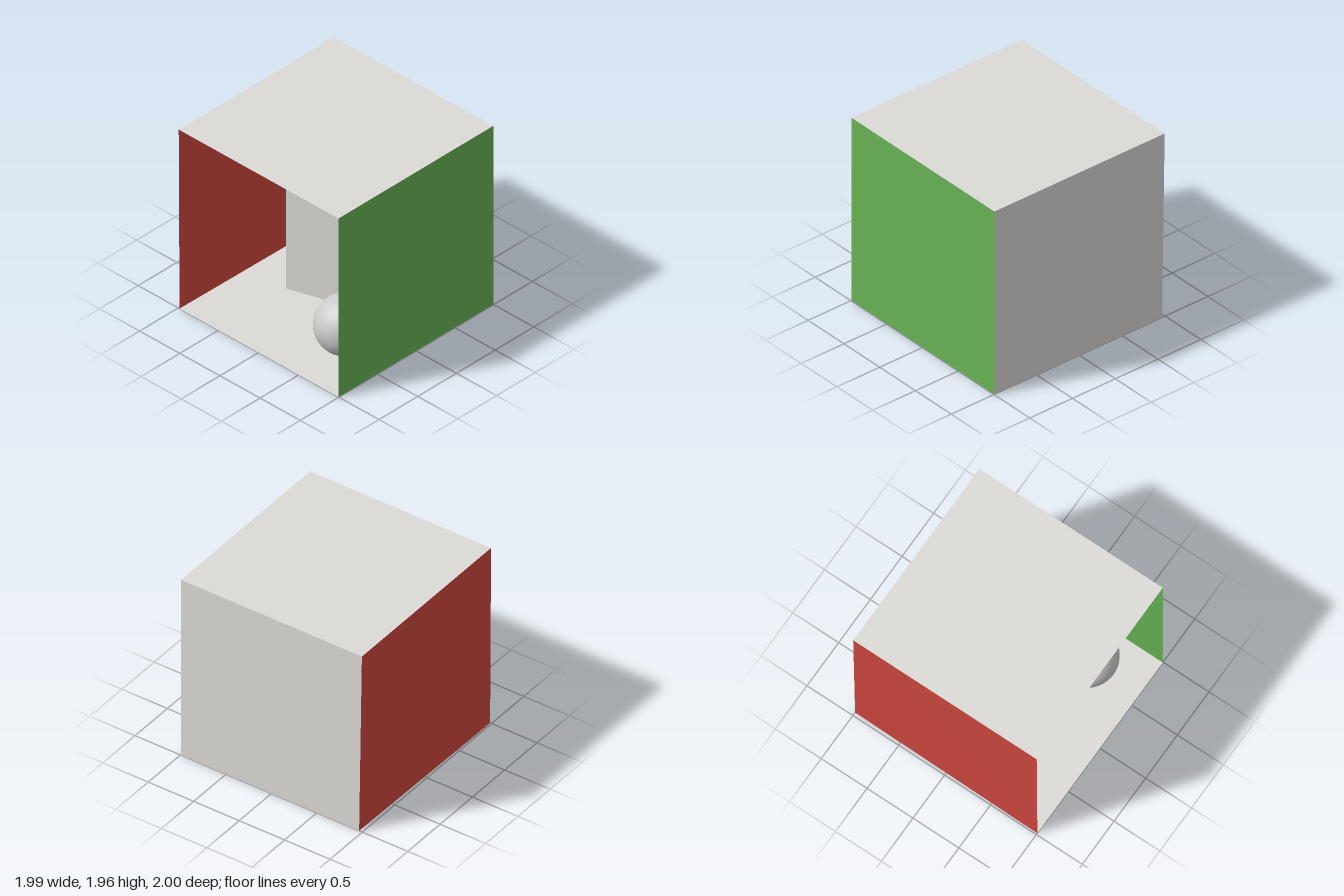
import * as THREE from 'three';

const OFF_WHITE = 0xdddbd7, RED = 0xd0483f, GREEN = 0x69b355;

// Corners of the slightly irregular room: left/right, front/back, bottom/top
const H = 1.96;
const lfb = [-0.985, 0, 1], rfb = [0.995, 0, 1], rbb = [0.995, 0, -1], lbb = [-0.965, 0, -1];
const lft = [-0.995, H, 1], rft = [0.995, H, 1], rbt = [0.995, H, -1], lbt = [-0.995, H, -1];

// Thin four-cornered panel, corners counter-clockwise seen from inside the room
function panel(name, color, a, b, c, d) {
  const geo = new THREE.BufferGeometry();
  geo.setAttribute('position', new THREE.Float32BufferAttribute([a, b, c, d].flat(), 3));
  geo.setIndex([0, 1, 2, 0, 2, 3]);
  geo.computeVertexNormals();
  const mesh = new THREE.Mesh(geo, new THREE.MeshStandardMaterial({ color, side: THREE.DoubleSide }));
  mesh.name = name;
  return mesh;
}

export function createModel() {
  const model = new THREE.Group();
  model.name = 'openRoom';

  // Room shell, open at the front
  model.add(
    panel('floor', OFF_WHITE, lfb, rfb, rbb, lbb),
    panel('ceiling', OFF_WHITE, lft, lbt, rbt, rft),
    panel('backWall', OFF_WHITE, lbb, rbb, rbt, lbt),
    panel('redWall', RED, lfb, lbb, lbt, lft),
    panel('greenWall', GREEN, rbb, rfb, rft, rbt)
  );

  // Tall block, turned on the floor
  const footprint = new THREE.Shape(
    [[-0.512, 0.113], [0.049, -0.064], [-0.128, -0.635], [-0.69, -0.458]]
      .map(([x, z]) => new THREE.Vector2(x, -z))
  );
  const blockGeo = new THREE.ExtrudeGeometry(footprint, { depth: 1.182, bevelEnabled: false });
  blockGeo.rotateX(-Math.PI / 2);
  const block = new THREE.Mesh(blockGeo, new THREE.MeshStandardMaterial({ color: OFF_WHITE }));
  block.name = 'tallBlock';
  model.add(block);

  // Ball hovering just above the floor
  const ball = new THREE.Mesh(
    new THREE.SphereGeometry(0.292, 48, 32),
    new THREE.MeshStandardMaterial({ color: 0xcccccc })
  );
  ball.name = 'ball';
  ball.position.set(0.57, 0.323, 0.47);
  model.add(ball);

  return model;
}
